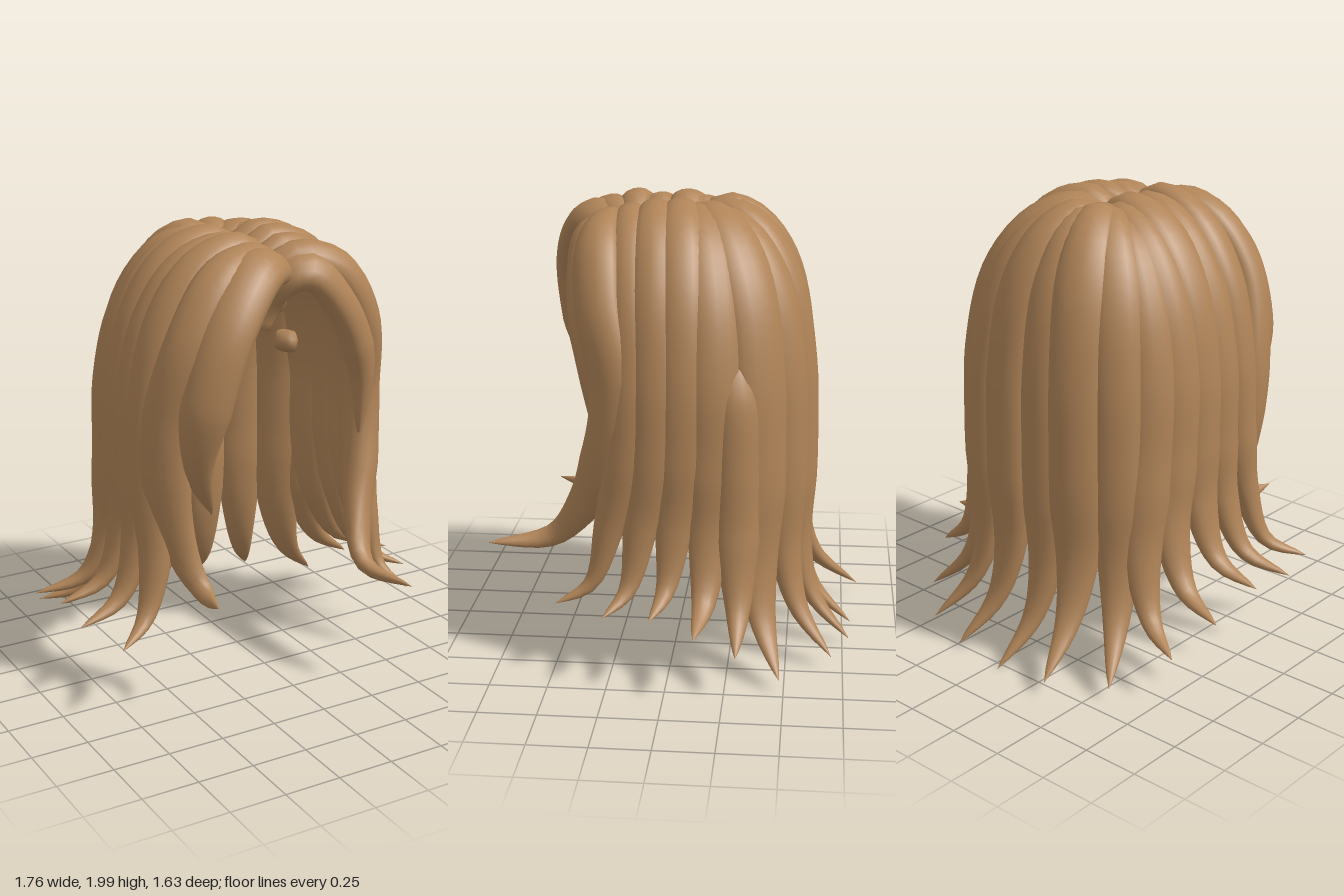
import * as THREE from 'three';

const hair = new THREE.MeshStandardMaterial({ color: 0xb08458, side: THREE.DoubleSide });
const SEGMENTS = 40, SIDES = 16;

// Direction pointing away from the head, used to lay each lock flat on it
function outward(p) {
  return new THREE.Vector3(p.x, Math.max(0, p.y - 1.3) + Math.max(0, 0.7 - p.y) * 1.5, p.z);
}

// Narrow blunt root, full body, pointed tip
function taper(t) {
  const root = 0.55 + 0.45 * THREE.MathUtils.smoothstep(t, 0, 0.25);
  const tip = t < 0.65 ? 1 : Math.pow(Math.max(0, 1 - (t - 0.65) / 0.35), 0.75);
  return root * tip;
}

// One lock: flattened oval swept along a smooth path
function lock(name, points, width, thickness) {
  const curve = new THREE.CatmullRomCurve3(points.map(p => new THREE.Vector3(...p)));
  const pos = [], index = [];
  for (let i = 0; i <= SEGMENTS; i++) {
    const t = Math.max(0, i - 1) / (SEGMENTS - 1);
    const scale = i === 0 ? 0.001 : Math.max(taper(t), 0.004);
    const p = curve.getPointAt(t), T = curve.getTangentAt(t);
    const N = outward(p).addScaledVector(T, -outward(p).dot(T)).normalize();
    const S = new THREE.Vector3().crossVectors(N, T);
    for (let j = 0; j < SIDES; j++) {
      const a = j / SIDES * Math.PI * 2;
      const v = p.clone()
        .addScaledVector(S, Math.cos(a) * width * scale)
        .addScaledVector(N, Math.sin(a) * thickness * scale);
      pos.push(v.x, v.y, v.z);
      if (i < SEGMENTS) {
        const k = i * SIDES + j, l = i * SIDES + (j + 1) % SIDES;
        index.push(k, l, k + SIDES, l, l + SIDES, k + SIDES);
      }
    }
  }
  const geo = new THREE.BufferGeometry();
  geo.setAttribute('position', new THREE.Float32BufferAttribute(pos, 3));
  geo.setIndex(index);
  geo.computeVertexNormals();
  const mesh = new THREE.Mesh(geo, hair);
  mesh.name = name;
  return mesh;
}

// Path from the parting over the crown, down the head and out to a flicked tip
function drape([rx, rz], [bx, bz], [tx, ty, tz], lift) {
  const at = (f, y) => [rx + (bx - rx) * f, y, rz + (bz - rz) * f];
  // Tips drift along the head (z) sooner than they flick away from it (x)
  const flick = (f, g, y) => [bx + (tx - bx) * f, y, bz + (tz - bz) * g];
  const isBack = ty < 0.15;
  return [
    at(0, 1.82 + lift), at(0.18, 1.92 + lift), at(0.5, 1.865 + lift), at(0.82, 1.63 + lift), at(0.97, 1.3),
    ...(isBack
      ? [at(1, 0.95), flick(0.03, 0.03, ty + 0.42), flick(0.32, 0.32, ty + 0.18)]
      : [flick(-0.03, 0.08, 0.95), flick(0.03, 0.3, ty + 0.32), flick(0.36, 0.55, ty + 0.07)]),
    [tx, ty, tz],
  ];
}

export function createModel() {
  const group = new THREE.Group();
  group.name = 'hair';

  // Root (x, z), body (x, z), tip (x, y, z), half width and crown lift
  const rows = {
    leftSideLock: [
      [[-0.03, 0.22], [0.53, 0.16], [0.62, 0.34, 0.48], 0.1, 0.0],
      [[-0.03, 0.11], [0.55, 0.06], [0.76, 0.34, 0.26], 0.11, 0.02],
      [[-0.03, 0.0], [0.55, -0.06], [0.8, 0.35, 0.06], 0.115, 0.025],
      [[-0.04, -0.05], [0.53, -0.19], [0.875, 0.31, -0.13], 0.125, 0.005],
    ],
    backLock: [
      [[-0.05, -0.07], [0.44, -0.37], [0.7, 0.06, -0.48], 0.14, 0.01],
      [[-0.05, -0.09], [0.29, -0.485], [0.45, 0.06, -0.7], 0.12, -0.01],
      [[-0.06, -0.1], [0.11, -0.535], [0.21, 0.04, -0.78], 0.125, 0.015],
      [[-0.07, -0.13], [-0.09, -0.52], [-0.04, 0.01, -0.79], 0.11, 0.005],
      [[-0.07, -0.1], [-0.27, -0.515], [-0.35, 0.08, -0.82], 0.125, 0.02],
      [[-0.06, -0.09], [-0.41, -0.41], [-0.58, 0.07, -0.67], 0.12, 0.0],
    ],
    rightSideLock: [
      [[-0.05, -0.08], [-0.49, -0.3], [-0.78, 0.21, -0.5], 0.115, -0.02],
      [[-0.02, -0.07], [-0.53, -0.18], [-0.87, 0.33, -0.32], 0.115, 0.0],
      [[0.0, -0.01], [-0.55, -0.05], [-0.87, 0.39, -0.04], 0.12, 0.025],
      [[0.0, 0.11], [-0.555, 0.08], [-0.88, 0.37, 0.19], 0.11, 0.01],
      [[0.01, 0.21], [-0.555, 0.21], [-0.8, 0.35, 0.44], 0.11, 0.025],
    ],
  };
  for (const [name, list] of Object.entries(rows)) {
    list.forEach(([root, body, tip, width, lift], i) => {
      group.add(lock(name + (i + 1), drape(root, body, tip, lift), width, 0.083));
    });
  }

  // Short lock tucked out from under its neighbours
  group.add(lock('leftTuckedLock', [
    [0.37, 1.34, -0.2], [0.43, 1.42, -0.24], [0.5, 1.25, -0.28], [0.52, 0.95, -0.29],
    [0.53, 0.6, -0.29], [0.62, 0.34, -0.3], [0.8, 0.2, -0.3],
  ], 0.1, 0.075));

  // Long locks framing the face, flicked forward at the ends
  group.add(lock('leftFrontLock', [
    [-0.02, 1.8, 0.28], [0.08, 1.9, 0.3], [0.28, 1.85, 0.32], [0.45, 1.6, 0.3], [0.51, 1.25, 0.23],
    [0.48, 0.95, 0.28], [0.39, 0.69, 0.4], [0.34, 0.54, 0.54], [0.4, 0.52, 0.81],
  ], 0.11, 0.08));
  group.add(lock('rightFrontLock', [
    [0.04, 1.82, 0.26], [-0.05, 1.91, 0.29], [-0.25, 1.87, 0.36], [-0.44, 1.62, 0.4], [-0.53, 1.25, 0.34],
    [-0.52, 0.95, 0.32], [-0.46, 0.65, 0.37], [-0.42, 0.53, 0.46], [-0.45, 0.54, 0.63],
  ], 0.115, 0.08));

  // Swept bangs either side of the parting
  group.add(lock('rightBang', [
    [0.06, 1.68, 0.24], [0.03, 1.83, 0.29], [-0.12, 1.88, 0.4], [-0.31, 1.7, 0.5],
    [-0.43, 1.38, 0.5], [-0.44, 1.1, 0.44], [-0.33, 0.84, 0.36],
  ], 0.11, 0.075));
  group.add(lock('leftBang', [
    [-0.03, 1.6, 0.22], [0.02, 1.78, 0.28], [0.13, 1.85, 0.35], [0.3, 1.69, 0.36],
    [0.43, 1.4, 0.33], [0.44, 1.04, 0.32],
  ], 0.11, 0.075));

  // Root end crossing under the parting
  group.add(lock('innerRoot', [
    [-0.28, 1.54, 0.12], [-0.14, 1.66, 0.12], [0.03, 1.74, 0.12], [0.25, 1.76, 0.12],
  ], 0.07, 0.06));

  return group;
}
